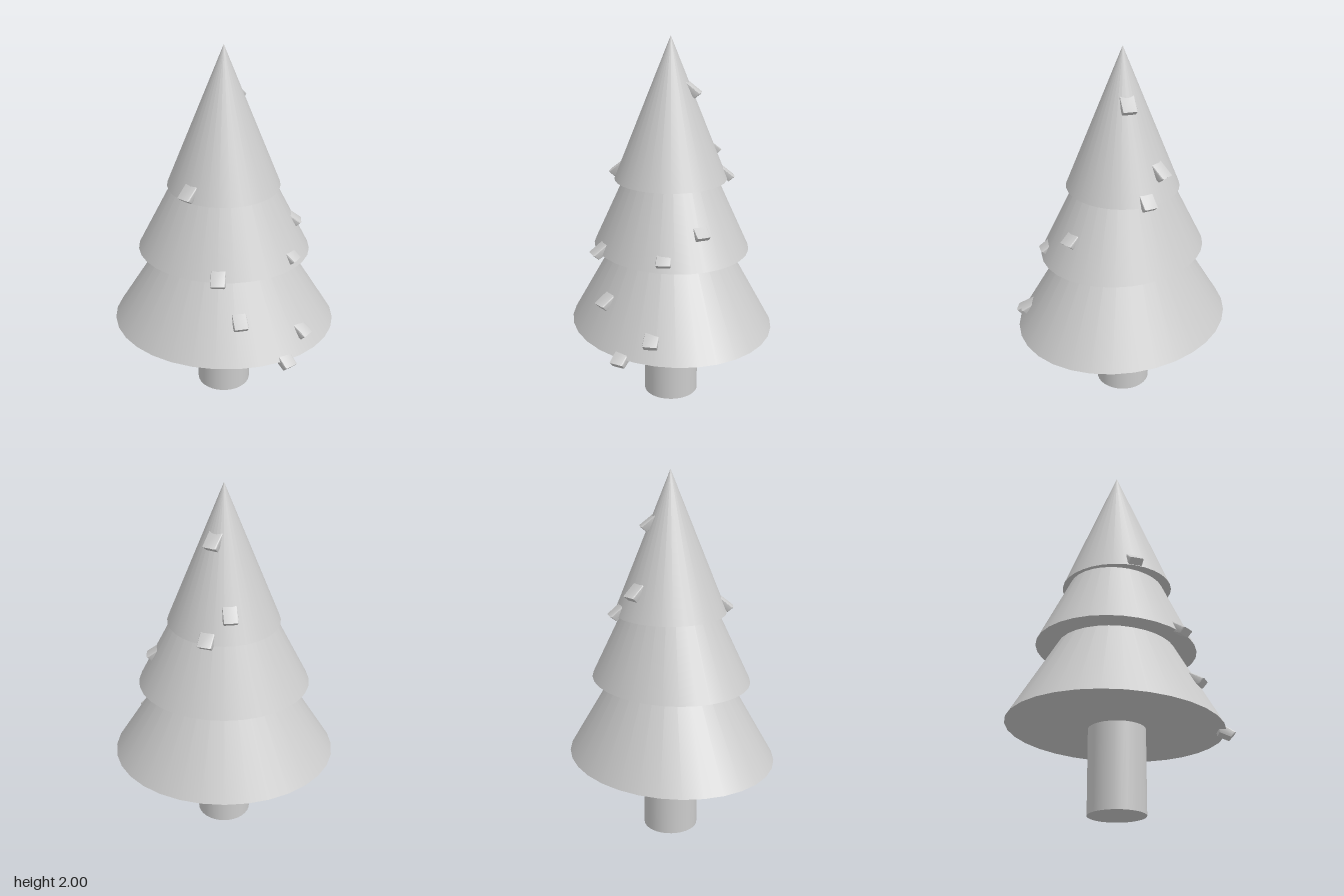
import * as THREE from 'three';
import { toCreasedNormals } from 'three/addons/utils/BufferGeometryUtils.js';

const material = new THREE.MeshStandardMaterial({ color: 0xcccccc });

// Tiers from bottom to top: base height, apex height, half-width, half-depth
const tiers = [
  { name: 'lowerBranches', base: 0.445, apex: 1.44, rx: 0.615, rz: 0.54 },
  { name: 'middleBranches', base: 0.885, apex: 1.8, rx: 0.465, rz: 0.41 },
  { name: 'upperBranches', base: 1.255, apex: 2, rx: 0.3, rz: 0.3 },
];

// Ornaments: tier index and centre
const ornaments = [
  [2, 0.055, 1.737, -0.1],
  [2, -0.03, 1.405, -0.25],
  [2, 0.09, 1.285, -0.28],
  [2, -0.16, 1.305, 0.24],
  [1, 0.37, 1.07, -0.01],
  [1, 0.365, 0.95, 0.19],
  [1, 0.005, 0.91, 0.41],
  [0, 0.12, 0.665, 0.42],
  [0, 0.44, 0.555, 0.29],
  [0, 0.365, 0.45, 0.43],
];

// Softened wedge: thin at the top, thick at the bottom, outward along +x
function wedgeGeometry() {
  const width = 0.076, bevel = 0.007;
  const profile = [[-0.024, 0.061], [-0.045, 0], [-0.006, -0.051], [0.033, -0.039]];
  const shape = new THREE.Shape(profile.map(([x, y]) => new THREE.Vector2(x, y)));
  const geometry = new THREE.ExtrudeGeometry(shape, {
    depth: width - 2 * bevel,
    bevelEnabled: true,
    bevelThickness: bevel,
    bevelSize: bevel,
    bevelOffset: -bevel,
    bevelSegments: 2,
  });
  geometry.translate(0, 0, bevel - width / 2);
  return toCreasedNormals(geometry, 0.6);
}

export function createModel() {
  const tree = new THREE.Group();
  tree.name = 'tree';

  const add = (name, geometry) => {
    const mesh = new THREE.Mesh(geometry, material);
    mesh.name = name;
    tree.add(mesh);
    return mesh;
  };

  // Trunk
  const trunkHeight = 0.445;
  add('trunk', new THREE.CylinderGeometry(0.15, 0.15, trunkHeight, 32)).position.y = trunkHeight / 2;

  // Branch cones, the lower two slightly wider than deep
  for (const { name, base, apex, rx, rz } of tiers) {
    const cone = new THREE.ConeGeometry(1, apex - base, 32);
    cone.scale(rx, 1, rz);
    add(name, cone).position.y = (base + apex) / 2;
  }

  // Ornaments lying against the slope of their tier
  const wedge = wedgeGeometry();
  ornaments.forEach(([tier, x, y, z], i) => {
    const { base, apex, rx, rz } = tiers[tier];
    const slope = Math.atan((rx + rz) / 2 / (apex - base));
    const ornament = add(`ornament${i + 1}`, wedge);
    ornament.position.set(x, y, z);
    ornament.rotation.set(0, Math.atan2(-z, x), slope);
  });

  return tree;
}
